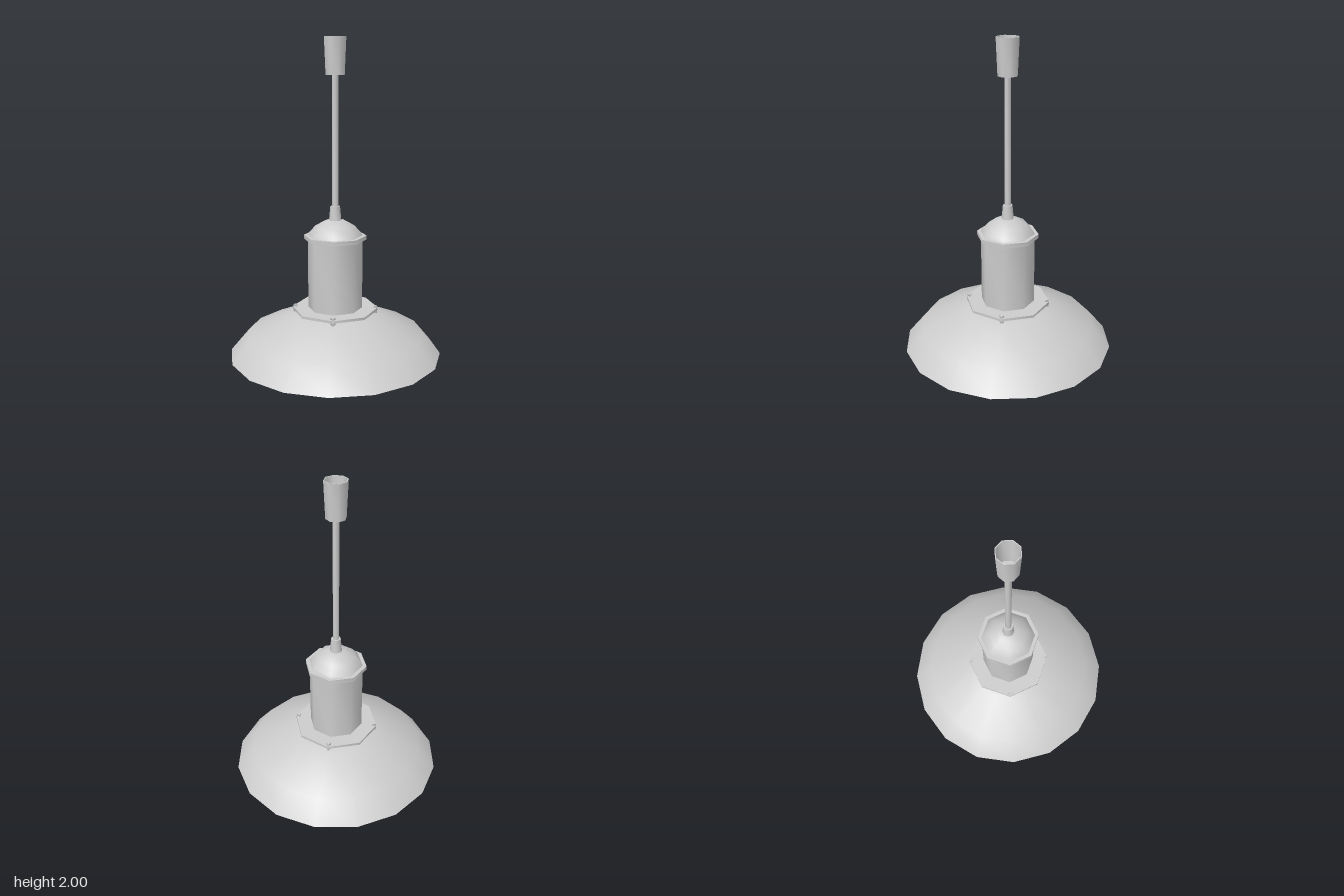
import * as THREE from 'three';
import { toCreasedNormals } from 'three/addons/utils/BufferGeometryUtils.js';

const material = new THREE.MeshStandardMaterial({ color: 0xcccccc });
const thinMaterial = new THREE.MeshStandardMaterial({ color: 0xcccccc, side: THREE.DoubleSide });

export function createModel() {
  const lamp = new THREE.Group();
  lamp.name = 'pendantLamp';

  const add = (name, geometry, mat = material, parent = lamp) => {
    const mesh = new THREE.Mesh(geometry, mat);
    mesh.name = name;
    parent.add(mesh);
    return mesh;
  };

  // Turned part from [radius, height] pairs, listed bottom to top on the outside
  const turned = (name, profile, sides = 8, mat = material) => {
    const points = profile.map(([r, y]) => new THREE.Vector2(r, y));
    return add(name, toCreasedNormals(new THREE.LatheGeometry(points, sides), 0.95), mat);
  };

  // Straight round bar between two points
  const bar = (name, a, b, radius, parent) => {
    const dir = b.clone().sub(a);
    const mesh = add(name, new THREE.CylinderGeometry(radius, radius, dir.length() + radius * 0.6, 6), material, parent);
    mesh.position.copy(a).add(b).multiplyScalar(0.5);
    mesh.quaternion.setFromUnitVectors(new THREE.Vector3(0, 1, 0), dir.normalize());
  };

  // Ceiling cup, open at the top, and suspension rod
  const cup = turned('ceilingCup', [[0, 1.795], [0.056, 1.795], [0.065, 2], [0.06, 2], [0.052, 1.81], [0, 1.81]]);
  cup.rotation.y = Math.PI / 8;
  turned('rod', [[0, 1.03], [0.018, 1.03], [0.018, 1.8], [0, 1.8]]);

  // Housing: ferrule, dome, rim, body and mounting flange
  turned('ferrule', [[0, 0.97], [0.036, 0.97], [0.028, 1.06], [0, 1.06]]);
  turned('dome', [[0.16, 0.885], [0.15, 0.905], [0.112, 0.947], [0.06, 0.975], [0, 0.985]]);
  turned('rim', [[0, 0.866], [0.18, 0.866], [0.18, 0.89], [0, 0.89]]);
  turned('body', [[0.158, 0.45], [0.158, 0.87]]);
  turned('flange', [[0, 0.442], [0.25, 0.442], [0.25, 0.457], [0, 0.457]]);

  // Shade
  turned('shade', [[0.62, 0.18], [0.515, 0.305], [0.25, 0.42], [0.2, 0.433]], 16, thinMaterial);

  // Socket and bulb
  turned('socket', [[0, 0.36], [0.065, 0.36], [0.065, 0.445], [0, 0.445]]);
  turned('bulb', [[0, 0.225], [0.04, 0.237], [0.068, 0.268], [0.07, 0.3], [0.055, 0.335], [0.04, 0.365]]);

  // Skirt and cage ring under the shade
  turned('skirt', [[0.2, 0.36], [0.2, 0.43]], 16, thinMaterial);
  const ring = add('cageRing', new THREE.TorusGeometry(0.2, 0.01, 6, 16));
  ring.rotation.x = Math.PI / 2;
  ring.position.y = 0.31;

  // Four cage bars meeting at the bottom, each below a three-sided bolt
  const path = [[0.212, 0.44], [0.2, 0.31], [0.185, 0.17], [0.169, 0.043], [0.134, 0.01], [0, 0.01]]
    .map(([x, y]) => new THREE.Vector3(x, y, 0));
  for (let i = 0; i < 4; i++) {
    const arm = new THREE.Group();
    arm.name = 'cageArm';
    arm.rotation.y = i * Math.PI / 2;
    lamp.add(arm);
    for (let j = 0; j < path.length - 1; j++) bar('cageBar', path[j], path[j + 1], 0.01, arm);
    const bolt = add('bolt', new THREE.CylinderGeometry(0.015, 0.015, 0.045, 3), material, arm);
    bolt.position.set(0.232, 0.446, 0);
    bolt.rotation.y = Math.PI / 2;
  }

  return lamp;
}
